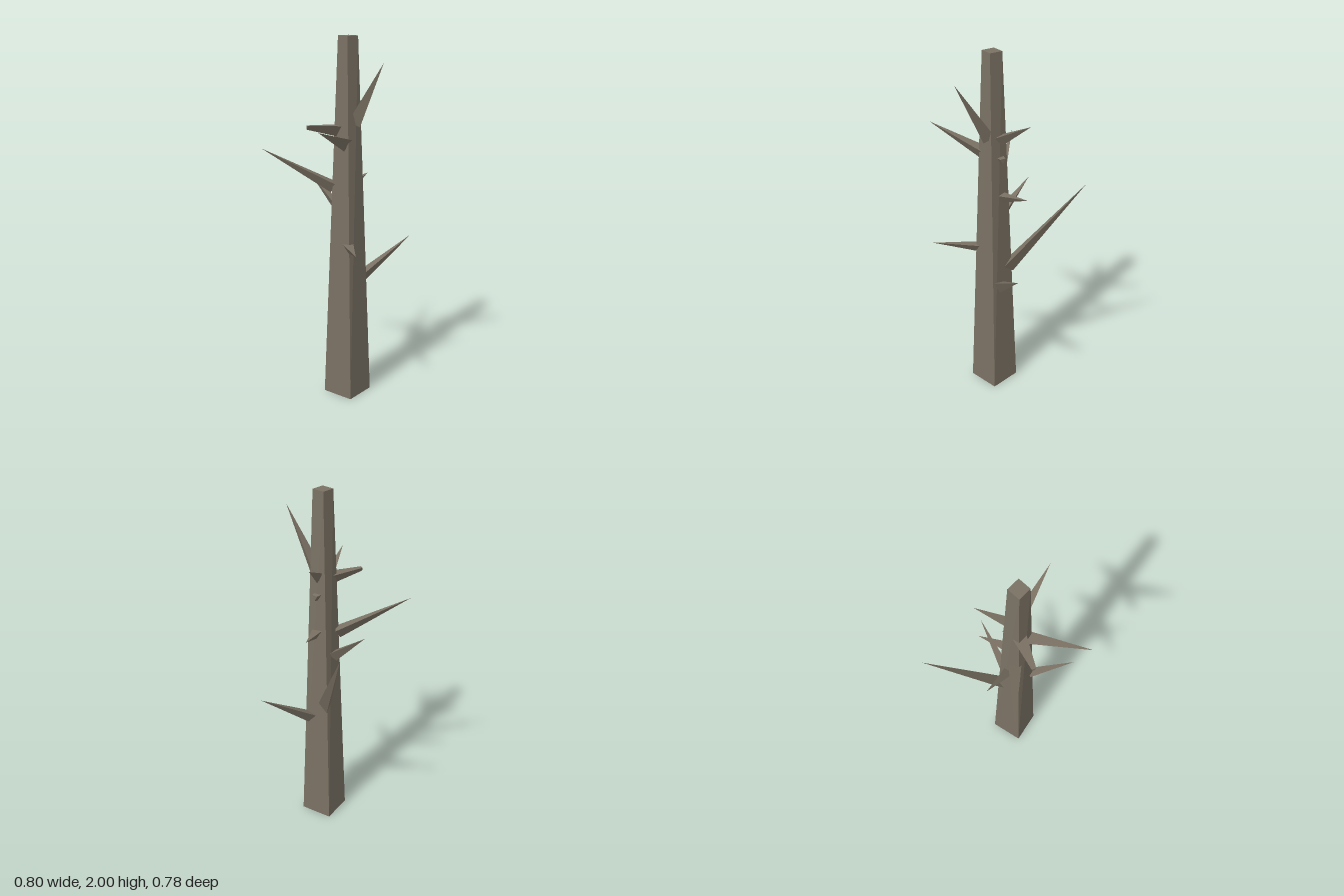
import * as THREE from 'three';

const V = (a) => new THREE.Vector3(...a);

// Facet a geometry so every face is flat
function faceted(geometry) {
  const g = geometry.toNonIndexed();
  g.computeVertexNormals();
  return g;
}

// Square trunk, tapering and turning slightly towards the top
function trunkGeometry() {
  const g = new THREE.CylinderGeometry(0.052, 0.131, 2, 4, 1, false, -0.31);
  const p = g.attributes.position;
  const v = new THREE.Vector3();
  const up = new THREE.Vector3(0, 1, 0);
  for (let i = 0; i < p.count; i++) {
    v.fromBufferAttribute(p, i);
    if (v.y > 0) v.applyAxisAngle(up, -0.19);
    p.setXYZ(i, v.x, v.y + 1, v.z + 0.07);
  }
  return faceted(g);
}

// Three-sided spike from base to tip: flat side up, keel down
function branchGeometry(base, tip, radius, tipRadius = 0) {
  const a = V(base), b = V(tip);
  const dir = b.clone().sub(a);
  const length = dir.length();
  dir.normalize();
  const side = dir.clone().cross(new THREE.Vector3(0, 1, 0)).normalize();
  const keel = dir.clone().cross(side).normalize();
  if (keel.y > 0) keel.negate();
  const x = dir.clone().cross(keel);
  const m = new THREE.Matrix4().makeBasis(x, dir, keel);
  m.setPosition(a.add(b).multiplyScalar(0.5));
  const g = new THREE.CylinderGeometry(tipRadius, radius, length, 3);
  return faceted(g.applyMatrix4(m));
}

// base, tip, base radius, tip radius (for broken ends)
const BRANCHES = [
  [[0.03, 0.76, 0.0], [0.18, 1.28, -0.395], 0.043],
  [[-0.06, 1.2, 0.025], [-0.4, 1.4, -0.175], 0.04],
  [[-0.025, 1.07, 0.01], [-0.11, 1.23, -0.175], 0.036],
  [[0.045, 1.54, 0.05], [0.17, 1.64, -0.08], 0.036],
  [[0.06, 1.215, 0.04], [0.184, 1.235, -0.06], 0.032],
  [[0.085, 0.675, 0.067], [0.4, 0.88, 0.065], 0.038],
  [[0.03, 1.55, 0.1], [0.092, 1.875, 0.295], 0.04],
  [[-0.03, 0.882, 0.14], [-0.105, 0.91, 0.39], 0.033],
  [[-0.035, 1.445, 0.11], [-0.285, 1.555, 0.335], 0.042],
  [[-0.04, 1.515, 0.06], [-0.22, 1.535, 0.035], 0.042, 0.014],
  [[0.03, 1.43, 0.05], [0.072, 1.43, 0.038], 0.03, 0.02],
];

export function createModel() {
  const group = new THREE.Group();
  group.name = 'deadTree';
  const bark = new THREE.MeshStandardMaterial({ color: 0x7a7163 });
  bark.name = 'bark';

  const add = (name, geometry) => {
    const mesh = new THREE.Mesh(geometry, bark);
    mesh.name = name;
    group.add(mesh);
  };

  add('trunk', trunkGeometry());
  BRANCHES.forEach((b, i) => add(`branch${i + 1}`, branchGeometry(...b)));
  return group;
}
